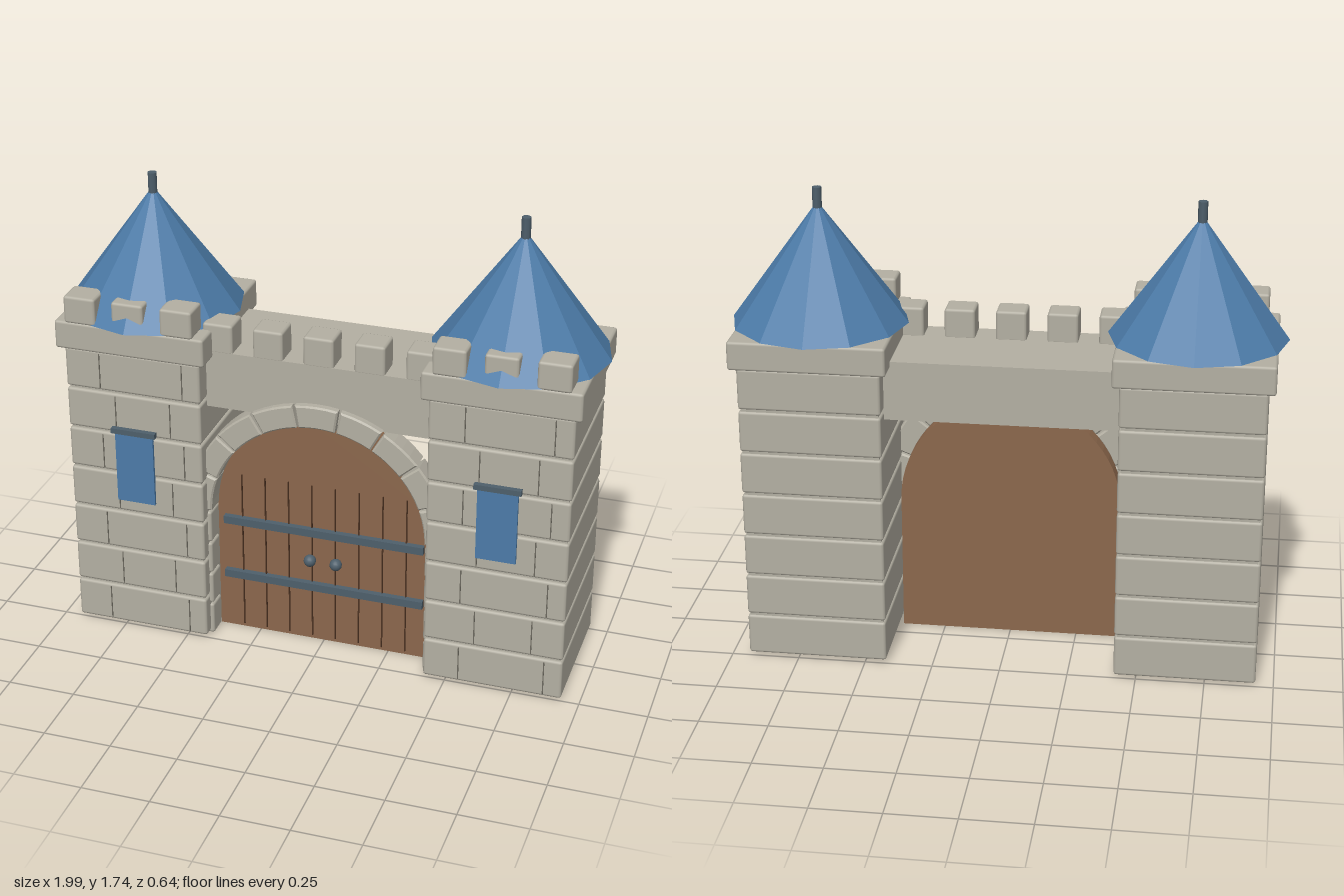
import * as THREE from 'three';
import { RoundedBoxGeometry } from 'three/addons/geometries/RoundedBoxGeometry.js';

function material(name, color, extra = {}) {
  const m = new THREE.MeshStandardMaterial({ color, ...extra });
  m.name = name;
  return m;
}

export function createModel() {
  const stone = material('stone', 0xb3afa2);
  const mortar = material('mortar', 0x6c695f);
  const roofBlue = material('roofBlue', 0x4c7ba8, { flatShading: true });
  const wood = material('wood', 0x8b674c);
  const darkWood = material('darkWood', 0x4c3222);
  const iron = material('iron', 0x4e5f6b);

  const model = new THREE.Group();
  model.name = 'castleGate';

  function add(parent, name, geometry, mat, x = 0, y = 0, z = 0) {
    const mesh = new THREE.Mesh(geometry, mat);
    mesh.name = name;
    mesh.position.set(x, y, z);
    parent.add(mesh);
    return mesh;
  }
  const box = (w, h, d) => new THREE.BoxGeometry(w, h, d);
  const block = (w, h, d, r = 0.01) => new RoundedBoxGeometry(w, h, d, 1, r);

  // Square tower of stacked courses with cap, battlements, roof and window
  function makeTower(name, x) {
    const tower = new THREE.Group();
    tower.name = name;
    tower.position.x = x;
    model.add(tower);

    const pitch = 0.162;
    for (let i = 0; i < 7; i++) {
      const y = 0.01 + pitch * (i + 0.5);
      add(tower, 'course', block(0.515, 0.154, 0.515), stone, 0, y, 0.002);
      // Upright joints, staggered from row to row
      for (const jx of i % 2 ? [-0.07, 0.14] : [-0.125, 0.19]) {
        add(tower, 'joint', box(0.004, 0.135, 0.005), mortar, jx, y, 0.259);
      }
    }
    // Core that closes the gaps between courses
    add(tower, 'core', box(0.495, 1.12, 0.495), stone, 0, 0.58, 0);
    add(tower, 'cap', block(0.565, 0.107, 0.565), stone, 0, 1.197, 0);
    for (const mx of [-0.182, 0, 0.182]) {
      add(tower, 'towerMerlon', block(0.12, 0.104, 0.106), stone, mx, 1.299, 0.231);
    }
    add(tower, 'roof', new THREE.ConeGeometry(0.32, 0.44, 12), roofBlue, 0, 1.47, 0);
    add(tower, 'finial', new THREE.CylinderGeometry(0.017, 0.017, 0.1, 8), iron, 0, 1.692, 0);

    add(tower, 'window', box(0.146, 0.285, 0.012), roofBlue, 0, 0.692, 0.264);
    add(tower, 'windowLintel', box(0.17, 0.02, 0.022), iron, 0, 0.838, 0.269);
  }
  makeTower('rightTower', -0.677);
  makeTower('leftTower', 0.677);

  // Wall bridging the towers, with battlements along the front
  add(model, 'wall', box(0.86, 0.22, 0.38), stone, 0, 1.06, 0);
  for (let i = -2; i <= 2; i++) {
    add(model, 'wallMerlon', block(0.112, 0.114, 0.106), stone, i * 0.187, 1.219, 0.138);
  }

  // Arch of wedge stones around the door
  const springY = 0.53;
  const inner = 0.41, outer = 0.485, bevel = 0.006;
  const half = Math.PI / 18 - 0.022;
  const wedge = new THREE.Shape();
  wedge.absarc(0, 0, outer, Math.PI / 2 - half, Math.PI / 2 + half, false);
  wedge.absarc(0, 0, inner, Math.PI / 2 + half, Math.PI / 2 - half, true);
  const wedgeGeometry = new THREE.ExtrudeGeometry(wedge, {
    depth: 0.072, curveSegments: 2, bevelEnabled: true,
    bevelThickness: bevel, bevelSize: bevel, bevelSegments: 1,
  });
  for (let i = -4; i <= 4; i++) {
    const archStone = add(model, 'archStone', wedgeGeometry, stone, 0, springY, 0.14);
    archStone.rotation.z = (i * Math.PI) / 9;
  }
  for (const side of [-1, 1]) {
    for (let i = 0; i < 4; i++) {
      add(model, 'jambStone', block(0.085, 0.126, 0.085), stone, side * 0.448, 0.066 + i * 0.132, 0.176);
    }
  }

  // Round-topped door
  const doorShape = new THREE.Shape();
  doorShape.moveTo(-0.41, 0);
  doorShape.lineTo(0.41, 0);
  doorShape.lineTo(0.41, springY);
  doorShape.absarc(0, springY, 0.41, 0, Math.PI, false);
  doorShape.closePath();
  const doorGeometry = new THREE.ExtrudeGeometry(doorShape, {
    depth: 0.06, curveSegments: 16, bevelEnabled: false,
  });
  add(model, 'door', doorGeometry, wood, 0, 0, 0.07);

  // Plank seams
  for (let i = 0; i < 8; i++) {
    add(model, 'plankSeam', box(0.004, 0.64, 0.008), darkWood, -0.315 + i * 0.09, 0.335, 0.132);
  }

  // Iron bands and knobs
  for (const y of [0.235, 0.465]) {
    add(model, 'doorBand', box(0.765, 0.03, 0.025), iron, 0, y, 0.14);
  }
  for (const x of [-0.05, 0.05]) {
    add(model, 'doorKnob', new THREE.SphereGeometry(0.023, 16, 10), iron, x, 0.345, 0.145);
  }

  return model;
}
